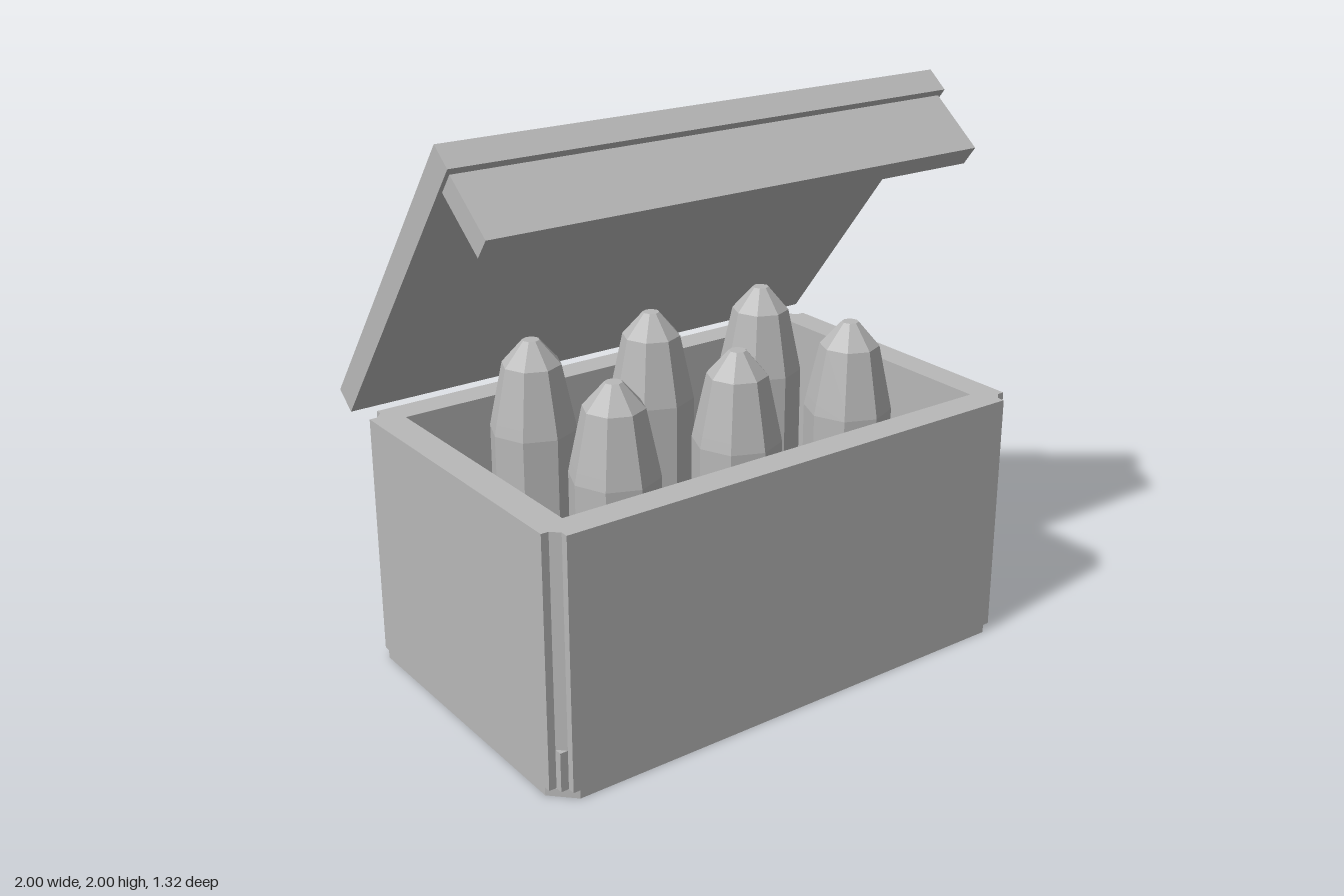
import * as THREE from 'three';

const grey = new THREE.MeshStandardMaterial({ color: 0xb8b8b8, flatShading: true });
grey.name = 'plain grey';

const HX = 0.97, HZ = 0.61, CZ = 0.05; // crate half sizes and z centre

function mesh(name, geometry, parent) {
  const m = new THREE.Mesh(geometry, grey);
  m.name = name;
  parent.add(m);
  return m;
}

// closed outline from one corner, listed counter-clockwise and mirrored to all four
function cornerOutline(corner) {
  const back = [...corner].reverse();
  const pts = [
    ...corner,
    ...back.map(([x, y]) => [-x, y]),
    ...corner.map(([x, y]) => [-x, -y]),
    ...back.map(([x, y]) => [x, -y]),
  ];
  return new THREE.Shape(pts.map(([x, y]) => new THREE.Vector2(x, y)));
}

// flat outline raised from y0 to y1
function upright(shape, y0, y1) {
  const g = new THREE.ExtrudeGeometry(shape, { depth: y1 - y0, bevelEnabled: false });
  g.rotateX(-Math.PI / 2);
  g.translate(0, y0, CZ);
  return g;
}

// side profile given as [z, y], extruded across x
function across(profile, halfWidth) {
  const shape = new THREE.Shape(profile.map(([z, y]) => new THREE.Vector2(-z, y)));
  const g = new THREE.ExtrudeGeometry(shape, { depth: halfWidth * 2, bevelEnabled: false });
  g.rotateY(Math.PI / 2);
  g.translate(-halfWidth, 0, 0);
  return g;
}

export function createModel() {
  const model = new THREE.Group();
  model.name = 'ammunitionCrate';

  // crate: chamfered base plate, walls with notched corners, inner floor
  const crate = new THREE.Group();
  crate.name = 'crate';
  model.add(crate);
  mesh('basePlate', upright(cornerOutline([[HX, HZ - 0.08], [HX - 0.08, HZ]]), 0, 0.03), crate);

  const walls = cornerOutline([
    [HX, HZ - 0.055], [HX - 0.027, HZ - 0.055], [HX - 0.055, HZ - 0.027], [HX - 0.055, HZ],
  ]);
  const opening = new THREE.Path();
  opening.moveTo(-0.86, -0.5);
  opening.lineTo(-0.86, 0.5);
  opening.lineTo(0.86, 0.5);
  opening.lineTo(0.86, -0.5);
  opening.closePath();
  walls.holes.push(opening);
  mesh('walls', upright(walls, 0.03, 0.92), crate);
  mesh('innerFloor', new THREE.BoxGeometry(1.74, 0.07, 1.02), crate).position.set(0, 0.065, CZ);

  // small posts in the corner notches
  for (const sx of [-1, 1]) {
    for (const sz of [-1, 1]) {
      mesh('cornerPost', new THREE.BoxGeometry(0.028, 0.14, 0.028), crate)
        .position.set(sx * (HX - 0.041), 0.1, CZ + sz * (HZ - 0.041));
    }
  }

  // two rows of three eight-sided shells
  const profile = [[0, 0.1], [0.155, 0.1], [0.155, 0.88], [0.147, 0.92], [0.105, 1.115], [0.03, 1.2], [0, 1.2]];
  const shellGeometry = new THREE.LatheGeometry(profile.map(([r, y]) => new THREE.Vector2(r, y)), 8);
  for (const z of [0.3, -0.2]) {
    for (const x of [-0.5, 0, 0.5]) {
      mesh('shell', shellGeometry, model).position.set(x, 0, z);
    }
  }

  // open lid with its front lip
  const lid = new THREE.Group();
  lid.name = 'lid';
  model.add(lid);
  mesh('lidPanel', across([[0.2, 1.94], [0.125, 2], [-0.66, 0.99], [-0.585, 0.93]], 1), lid);
  mesh('lidLip', across([[0.38, 1.765], [0.175, 1.925], [0.125, 1.86], [0.33, 1.7]], 0.985), lid);

  return model;
}
